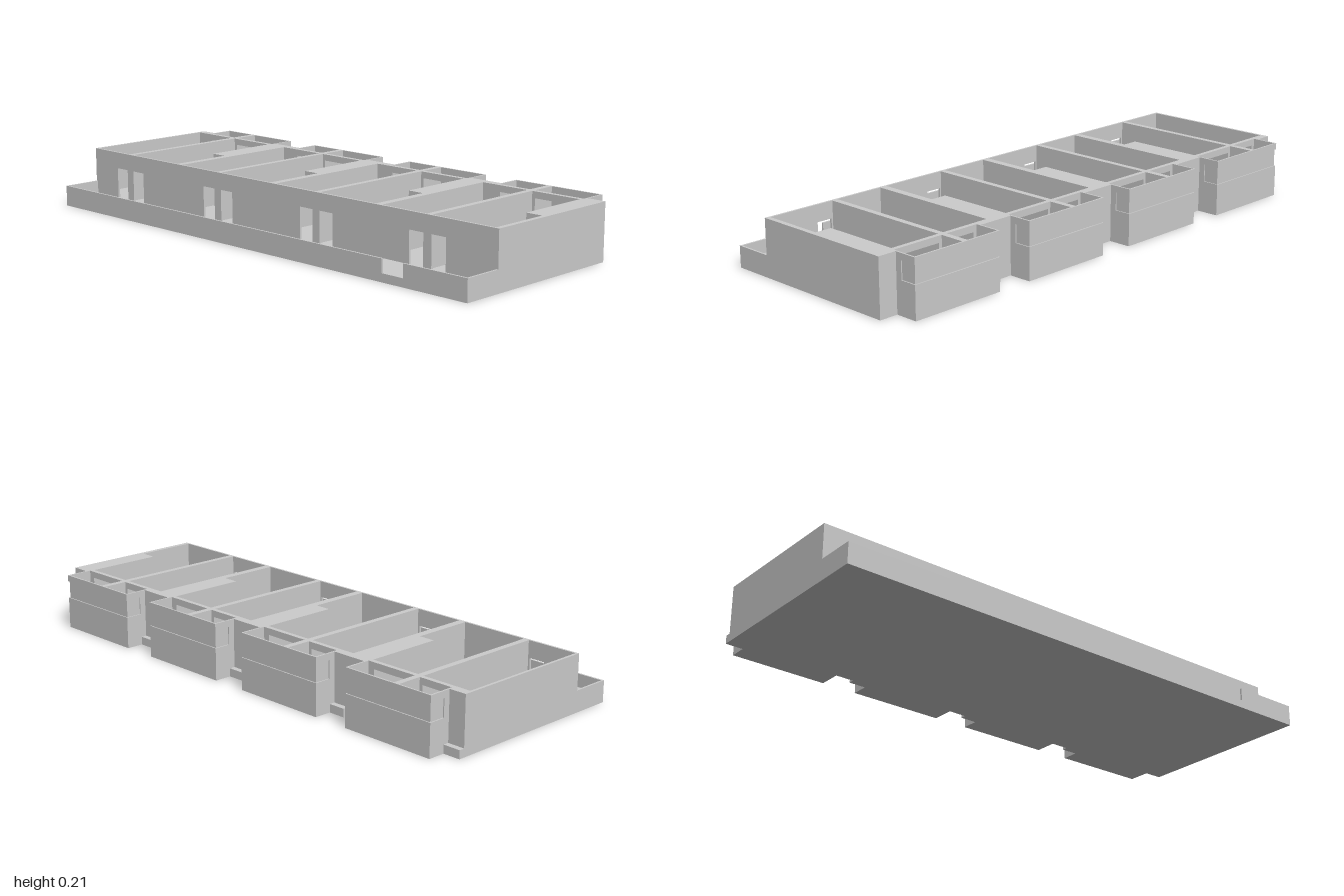
import * as THREE from 'three';

const FLOOR = 0.03, TOP = 0.207, DOOR = 0.145;
const SILL = 0.118, HEAD = 0.183;
const material = new THREE.MeshStandardMaterial({ color: 0xcccccc, flatShading: true });

// Box from its limits on each axis
function box(parent, name, x0, x1, y0, y1, z0, z1) {
  const mesh = new THREE.Mesh(new THREE.BoxGeometry(x1 - x0, y1 - y0, z1 - z0), material);
  mesh.position.set((x0 + x1) / 2, (y0 + y1) / 2, (z0 + z1) / 2);
  mesh.name = name;
  parent.add(mesh);
}

// Wall running along z, with openings given as [start, end] up to a lintel height
function wallWithOpenings(parent, name, x0, x1, z0, z1, openings, lintel) {
  let z = z0;
  for (const [a, b] of openings) {
    box(parent, name, x0, x1, FLOOR, lintel, z, a);
    z = b;
  }
  box(parent, name, x0, x1, FLOOR, lintel, z, z1);
  box(parent, name + 'Lintel', x0, x1, lintel, TOP, z0, z1);
}

// Rectangular ring of pod walls, open on the room side
function podRing(parent, name, inset, thickness, y0, y1) {
  const x1 = 0.397 - inset, z0 = 0.065 + inset, z1 = 0.43 - inset;
  box(parent, name + 'Outer', x1 - thickness, x1, y0, y1, z0, z1);
  box(parent, name + 'Side', 0.297, x1 - thickness, y0, y1, z0, z0 + thickness);
  box(parent, name + 'Side', 0.297, x1 - thickness, y0, y1, z1 - thickness, z1);
}

// One unit: two rooms, with a projecting pod divided between them
function createUnit() {
  const unit = new THREE.Group();

  // Corridor wall with a pair of doors beside the dividing wall
  wallWithOpenings(unit, 'corridorWall', -0.25, -0.242, 0, 0.5,
    [[0.135, 0.195], [0.23, 0.29]], DOOR);

  // Party walls, thickened by a shaft over the pod half
  box(unit, 'partyWall', -0.242, 0.28, FLOOR, TOP, 0, 0.01);
  box(unit, 'partyWall', -0.242, 0.28, FLOOR, TOP, 0.482, 0.5);
  box(unit, 'serviceShaft', -0.01, 0.28, FLOOR, TOP, 0.42, 0.482);

  // Dividing wall through rooms and pod
  box(unit, 'dividingWall', -0.242, 0.392, FLOOR, TOP, 0.202, 0.224);

  // Inner facade opening into the pod, and solid facade beside it
  wallWithOpenings(unit, 'innerFacade', 0.28, 0.297, 0.065, 0.43,
    [[0.085, 0.19], [0.236, 0.4]], HEAD);
  box(unit, 'facade', 0.28, 0.312, FLOOR, TOP, 0, 0.07);
  box(unit, 'facade', 0.28, 0.312, FLOOR, TOP, 0.425, 0.5);

  // Pod walls with a recessed window band
  box(unit, 'podFloor', 0.312, 0.397, 0, FLOOR, 0.065, 0.43);
  podRing(unit, 'podParapet', 0, 0.006, FLOOR, SILL);
  podRing(unit, 'podWindow', 0.004, 0.002, SILL, HEAD);
  podRing(unit, 'podHead', 0, 0.006, HEAD, TOP);
  for (const [a, b] of [[0.065, 0.071], [0.424, 0.43]]) {
    box(unit, 'podSidePier', 0.297, 0.335, SILL, HEAD, a, b);
  }

  // Low ledge next to the pod
  box(unit, 'ledge', 0.312, 0.333, 0, FLOOR, 0, 0.065);
  return unit;
}

export function createModel() {
  const model = new THREE.Group();
  model.name = 'apartmentFloor';

  box(model, 'floorSlab', -0.397, 0.312, 0, FLOOR, -1, 1);

  for (let i = 0; i < 4; i++) {
    const unit = createUnit();
    unit.name = 'unit' + (i + 1);
    unit.position.z = -1 + i * 0.5;
    model.add(unit);
  }

  // Corridor parapet with one gap
  box(model, 'parapet', -0.397, -0.39, FLOOR, 0.078, -1, 0.65);
  box(model, 'parapet', -0.397, -0.39, FLOOR, 0.078, 0.74, 1);
  box(model, 'endParapet', -0.39, -0.25, FLOOR, 0.078, -1, -0.993);
  box(model, 'endParapet', -0.39, -0.25, FLOOR, 0.078, 0.993, 1);
  return model;
}
